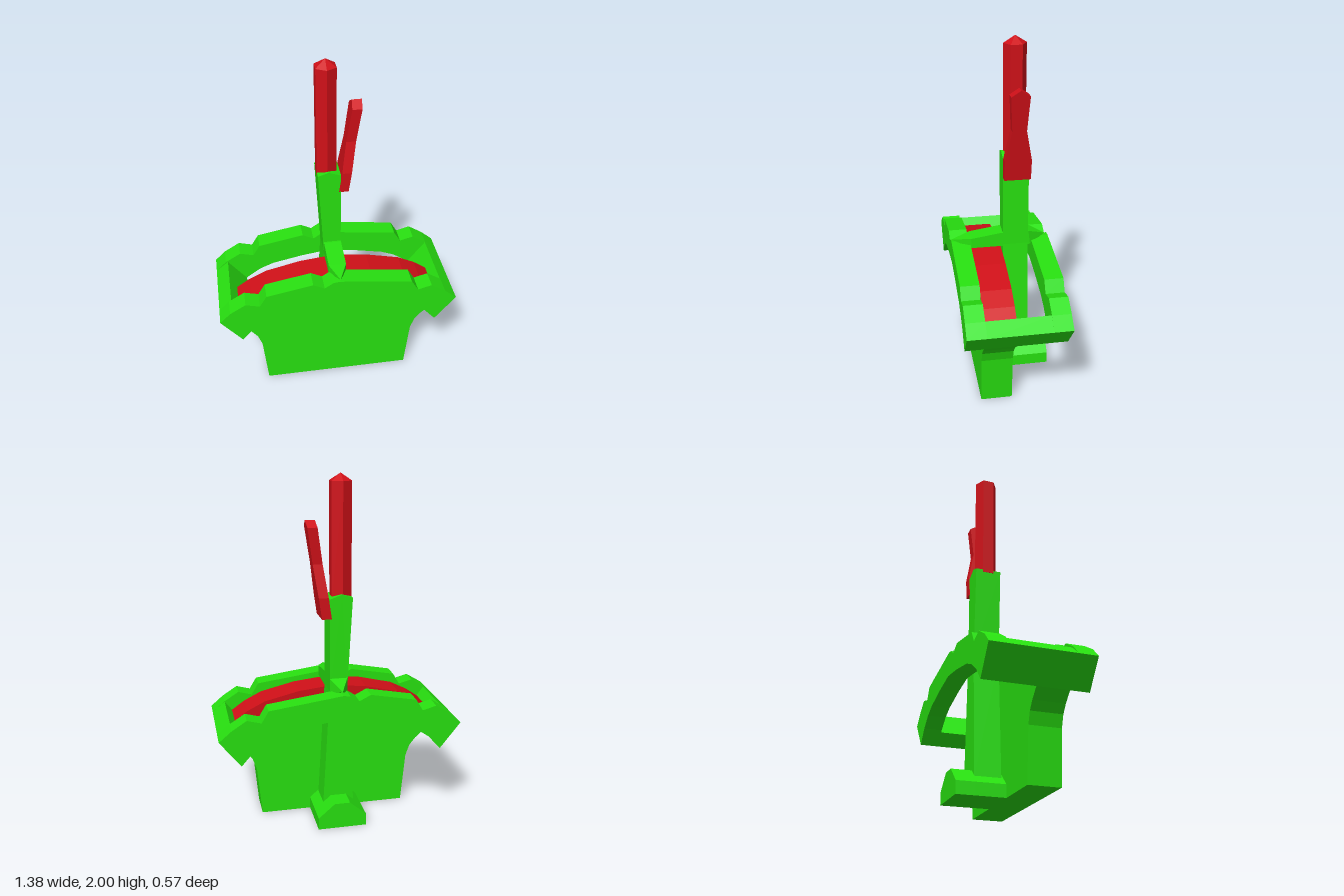
import * as THREE from 'three';
import { ConvexGeometry } from 'three/addons/geometries/ConvexGeometry.js';

const green = new THREE.MeshStandardMaterial({ color: 0x28e010, flatShading: true });
const red = new THREE.MeshStandardMaterial({ color: 0xd01018, flatShading: true });

const mirror = (pts) => pts.map(([x, y]) => [-x, y]).reverse();

// Prism from an x-y outline between two z depths
function prism(points, z0, z1, hole) {
  const shape = new THREE.Shape(points.map(([x, y]) => new THREE.Vector2(x, y)));
  if (hole) shape.holes.push(new THREE.Path(hole.map(([x, y]) => new THREE.Vector2(x, y))));
  const geo = new THREE.ExtrudeGeometry(shape, { depth: z1 - z0, bevelEnabled: false });
  return geo.translate(0, 0, z0);
}

export function createModel() {
  const model = new THREE.Group();
  const add = (name, geo, mat = green) => {
    const mesh = new THREE.Mesh(geo, mat);
    mesh.name = name;
    model.add(mesh);
    return mesh;
  };

  // Underside arc shared by rails, plate and strip, centre to right end
  const halfArc = [[0, 0.677], [0.16, 0.655], [0.34, 0.618], [0.42, 0.585], [0.5, 0.53]];
  const arc = [...mirror(halfArc), ...halfArc.slice(1)];

  // Notched guide rails, front and back
  const rail = [
    [-0.57, 0.45], ...arc, [0.57, 0.45], [0.69, 0.6], [0.62, 0.66], [0.535, 0.715], [0.455, 0.693],
    [0.415, 0.76], [0, 0.815], [-0.04, 0.81], [-0.09, 0.777], [-0.155, 0.81], [-0.42, 0.76],
    [-0.46, 0.693], [-0.54, 0.715], [-0.63, 0.66], [-0.69, 0.6],
  ];
  add('frontRail', prism(rail, 0.178, 0.285));
  add('backRail', prism(rail, -0.285, -0.178));

  // End blocks joining the rails
  const end = [[0.57, 0.45], [0.69, 0.6], [0.617, 0.66], [0.51, 0.52]];
  add('leftEndBlock', prism(end, -0.178, 0.178));
  add('rightEndBlock', prism(mirror(end), -0.178, 0.178));

  // Flared support plate
  const side = [[0.57, 0.45], [0.515, 0.4], [0.48, 0.355], [0.457, 0.29], [0.43, 0]];
  add('supportPlate', prism([...arc, ...side, ...mirror(side)], 0, 0.178));

  // Curved coloured strip on top of the plate
  const stripTop = [[0, 0.78], [0.2, 0.758], [0.4, 0.71], [0.5, 0.66], [0.585, 0.6]];
  add('indicatorStrip', prism(
    [...arc, ...[...stripTop].reverse(), ...mirror(stripTop).reverse().slice(1)], 0, 0.175), red);

  // Pivot foot: hollow arch closed by a back cheek
  const footSide = [[0.045, 0.152], [0.14, 0.07], [0.14, 0]];
  const foot = [...mirror(footSide), ...footSide];
  add('pivotCheek', prism(foot, -0.27, -0.165));
  add('pivotHousing', prism(foot, -0.165, 0,
    [[-0.09, 0.01], [0.09, 0.01], [0.09, 0.07], [0.05, 0.11], [-0.05, 0.11], [-0.09, 0.07]]));

  // Lever shaft
  add('leverShaft', prism([
    [-0.09, 0.11], [0.09, 0.11], [0.05, 0.8], [0.05, 1.33], [-0.02, 1.355], [-0.08, 1.335], [-0.05, 0.8],
  ], -0.157, -0.01));

  // Double-ended pointer across the rails
  const pointer = [new THREE.Vector3(0, 0.83, 0.285), new THREE.Vector3(0, 0.83, -0.265)];
  for (const x of [-0.05, 0.05]) {
    for (const [y, z] of [[0.875, 0], [0.875, -0.16], [0.85, 0.175], [0.79, 0.175], [0.79, -0.17]]) {
      pointer.push(new THREE.Vector3(x, y, z));
    }
  }
  add('pointer', new ConvexGeometry(pointer));

  // Hexagonal grip with a pointed cap
  const grip = add('grip', new THREE.CylinderGeometry(0.064, 0.064, 0.64, 6), red);
  grip.position.set(-0.025, 1.64, -0.085);
  const cap = add('gripCap', new THREE.ConeGeometry(0.064, 0.04, 6), red);
  cap.position.set(-0.025, 1.98, -0.085);

  // Release handle: waisted outline, then sheared outward with height
  const handleSide = [[0.075, 1.22], [0.075, 1.34], [0.04, 1.52], [0.052, 1.72], [0, 1.755]];
  const handle = prism([...handleSide, ...mirror(handleSide).slice(1)], 0, 0.055);
  handle.rotateY(Math.PI / 2);
  const p = handle.attributes.position;
  for (let i = 0; i < p.count; i++) {
    p.setX(i, p.getX(i) + 0.05 + (p.getY(i) - 1.3) * 0.145);
    p.setZ(i, p.getZ(i) - 0.085);
  }
  handle.computeVertexNormals();
  add('releaseHandle', handle, red);

  return model;
}
